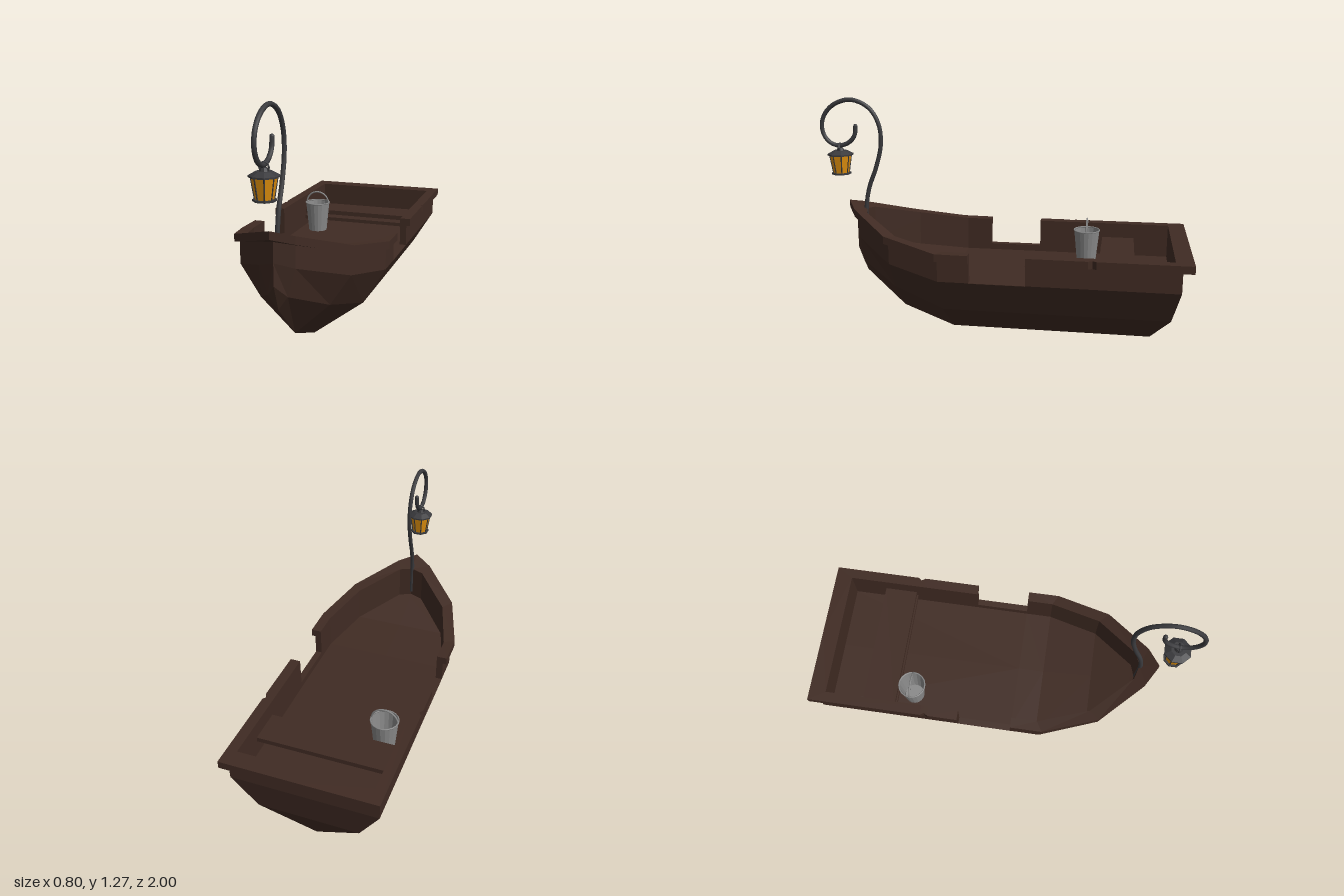
import * as THREE from 'three';

const mat = (color, extra = {}) => new THREE.MeshStandardMaterial({ color, ...extra });
const wood = mat(0x402b23, { flatShading: true });
const iron = mat(0x3a3a3d, { flatShading: true });
const rod = mat(0x3a3a3d);
const amber = mat(0xe0900e, { flatShading: true });
const tin = mat(0x8a8a8a, { side: THREE.DoubleSide });

function add(parent, name, geometry, material, x = 0, y = 0, z = 0) {
  const mesh = new THREE.Mesh(geometry, material);
  mesh.name = name;
  mesh.position.set(x, y, z);
  parent.add(mesh);
  return mesh;
}

// Skin a row of cross-sections of [x, y, z] points; closed rings also get end caps
function loft(rings, closed = true) {
  const pos = [];
  const tri = (...pts) => pts.forEach((p) => pos.push(...p));
  const n = rings[0].length;
  for (let i = 0; i < rings.length - 1; i++) {
    for (let j = 0; j < (closed ? n : n - 1); j++) {
      const k = (j + 1) % n;
      const a = rings[i][j], b = rings[i + 1][j], c = rings[i + 1][k], d = rings[i][k];
      tri(a, d, c);
      tri(a, c, b);
    }
  }
  const s = rings[0], e = rings[rings.length - 1];
  for (let j = 1; closed && j < n - 1; j++) {
    tri(s[0], s[j + 1], s[j]);
    tri(e[0], e[j], e[j + 1]);
  }
  const g = new THREE.BufferGeometry();
  g.setAttribute('position', new THREE.Float32BufferAttribute(pos, 3));
  g.computeVertexNormals();
  return g;
}

// Height of the rail top along the boat, rising towards the bow
function sheer(z) {
  const line = [[-1, 0.54], [0.27, 0.54], [0.57, 0.595], [0.79, 0.68], [0.85, 0.71]];
  const i = line.findIndex((p, n) => n > 0 && z <= p[0]);
  const [z0, y0] = line[i - 1], [z1, y1] = line[i];
  return y0 + ((y1 - y0) * (z - z0)) / (z1 - z0);
}

// Plan stations: outer wall, inner wall, rail edge as [x, z]; knuckle and deck heights
const st = (o, i, r, knuckle = 0.39, deck = 0.355) => ({ o, i, r, knuckle, deck });
const straight = (z, rail = 0.4) => st([0.38, z], [0.345, z], [rail, z]);
const sternCorner = st([0.38, -0.945], [0.345, -0.91], [0.4, -1]);
const aft = (notch) => [
  st([0, -0.945], [0, -0.91], [0, -1]), sternCorner,
  straight(notch - 0.02), straight(notch, 0.386), straight(notch + 0.02), // worn nick in the rail
  straight(-0.18),
];
const gap = [straight(-0.18), straight(0.11)];
const fore = [
  straight(0.11),
  st([0.38, 0.27], [0.345, 0.25], [0.4, 0.28]),
  st([0.285, 0.55], [0.26, 0.52], [0.305, 0.57], 0.44, 0.395),
  st([0.09, 0.765], [0.07, 0.73], [0.1, 0.79], 0.52, 0.472),
  st([0, 0.81], [0, 0.75], [0, 0.85], 0.55, 0.48),
];
const band = (outer, inner, outLow, outTop, inTop, inLow) => [
  [outer[0], outLow, outer[1]], [outer[0], outTop, outer[1]],
  [inner[0], inTop, inner[1]], [inner[0], inLow, inner[1]],
];
const T = 0.04; // rail thickness
const wallRing = ({ o, i, knuckle, deck }) => band(o, i, knuckle, sheer(o[1]) - T, sheer(i[1]) - T, deck);
const railRing = ({ r, i }) => band(r, i, sheer(r[1]) - T, sheer(r[1]), sheer(i[1]), sheer(i[1]) - T);
const sillRing = ({ o, i, knuckle, deck }) => band(o, i, knuckle - 0.002, knuckle, knuckle, deck);

// Hull sections: keel, chine, knuckle
const hullRings = [
  [[0, 0, -0.82], [0.265, 0.2, -0.91], [0.38, 0.39, -0.945]],
  [[0, 0, 0.27], [0.265, 0.2, 0.27], [0.38, 0.39, 0.27]],
  [[0, 0.11, 0.55], [0.18, 0.28, 0.55], [0.285, 0.44, 0.55]],
  [[0, 0.31, 0.76], [0.05, 0.38, 0.765], [0.09, 0.52, 0.765]],
  [[0, 0.44, 0.81], [0, 0.44, 0.81], [0, 0.55, 0.81]],
];

function boatHalf(side, notch) {
  const half = new THREE.Group();
  half.name = side + 'HullHalf';
  add(half, 'hull', loft(hullRings, false), wood);
  add(half, 'transom', loft(hullRings[0].map((p) => [p, [0, p[1], p[2]]]), false), wood);
  const deckRows = [sternCorner, ...fore].map(({ i, deck }) => [[i[0], deck, i[1]], [0, deck, i[1]]]);
  add(half, 'deck', loft(deckRows, false), wood);
  add(half, 'boardingSill', loft(gap.map(sillRing)), wood);
  [['aft', aft(notch)], ['fore', fore]].forEach(([name, list]) => {
    add(half, name + 'Bulwark', loft(list.map(wallRing)), wood);
    add(half, name + 'Rail', loft(list.map(railRing)), wood);
  });
  if (side === 'right') half.scale.x = -1;
  return half;
}

function lantern() {
  const g = new THREE.Group();
  g.name = 'lantern';
  const k = 1 / Math.cos(Math.PI / 8); // flat-to-flat radius to corner radius
  const octagon = (name, rTop, rBottom, y0, y1, m) =>
    add(g, name, new THREE.CylinderGeometry(rTop * k, rBottom * k, y1 - y0, 8, 1, false, Math.PI / 8), m, 0, (y0 + y1) / 2, 0);
  octagon('basePlate', 0.049, 0.049, 0.855, 0.864, iron);
  octagon('glass', 0.054, 0.039, 0.864, 0.96, amber);
  octagon('capRim', 0.065, 0.065, 0.96, 0.968, iron);
  octagon('cap', 0.036, 0.065, 0.968, 0.985, iron);
  octagon('capKnob', 0.014, 0.02, 0.985, 1.0, iron);
  // Corner bars between the panes
  for (let i = 0; i < 8; i++) {
    const a = Math.PI / 8 + (i * Math.PI) / 4;
    const at = (r, y) => new THREE.Vector3(r * k * Math.sin(a), y, r * k * Math.cos(a));
    const path = new THREE.LineCurve3(at(0.039, 0.862), at(0.054, 0.962));
    add(g, 'cornerBar', new THREE.TubeGeometry(path, 1, 0.0035, 5), iron);
  }
  add(g, 'hangingRing', new THREE.TorusGeometry(0.023, 0.005, 6, 8), iron, 0, 1.002, 0);
  g.position.z = 0.89;
  return g;
}

function bucket() {
  const g = new THREE.Group();
  g.name = 'bucket';
  const profile = [[0, 0.006], [0.052, 0.006], [0.054, 0], [0.071, 0.17]].map((p) => new THREE.Vector2(...p));
  const body = new THREE.LatheGeometry(profile, 18).toNonIndexed();
  body.computeVertexNormals();
  add(g, 'bucketBody', body, tin);
  add(g, 'bucketRim', new THREE.TorusGeometry(0.071, 0.004, 6, 18), tin, 0, 0.17, 0).rotation.x = Math.PI / 2;
  add(g, 'bucketHandle', new THREE.TorusGeometry(0.069, 0.005, 6, 16, Math.PI), tin, 0, 0.165, 0);
  g.position.set(-0.235, 0.356, -0.455);
  return g;
}

export function createModel() {
  const boat = new THREE.Group();
  boat.name = 'rowingBoat';
  boat.add(boatHalf('left', -0.51), boatHalf('right', -0.36));

  // Stern bench with a narrow stretcher below its front edge
  add(boat, 'bench', new THREE.BoxGeometry(0.69, 0.025, 0.18), wood, 0, 0.445, -0.63);
  add(boat, 'benchStretcher', new THREE.BoxGeometry(0.69, 0.02, 0.03), wood, 0, 0.405, -0.55);

  // Curled lamp post at the bow, as [z, y]
  const curl = [
    [0.755, 0.5], [0.755, 0.67], [0.735, 0.78], [0.69, 0.9], [0.66, 1.02], [0.667, 1.13],
    [0.72, 1.22], [0.82, 1.262], [0.92, 1.232], [0.978, 1.165], [0.986, 1.09], [0.955, 1.035],
    [0.9, 1.012], [0.84, 1.03], [0.805, 1.07], [0.798, 1.12],
  ].map(([z, y]) => new THREE.Vector3(0, y, z));
  const path = new THREE.CatmullRomCurve3(curl);
  add(boat, 'lampPost', new THREE.TubeGeometry(path, 72, 0.012, 8), rod);
  add(boat, 'lampPostTip', new THREE.SphereGeometry(0.012, 8, 6), rod, 0, 1.12, 0.798);

  boat.add(lantern(), bucket());
  return boat;
}
